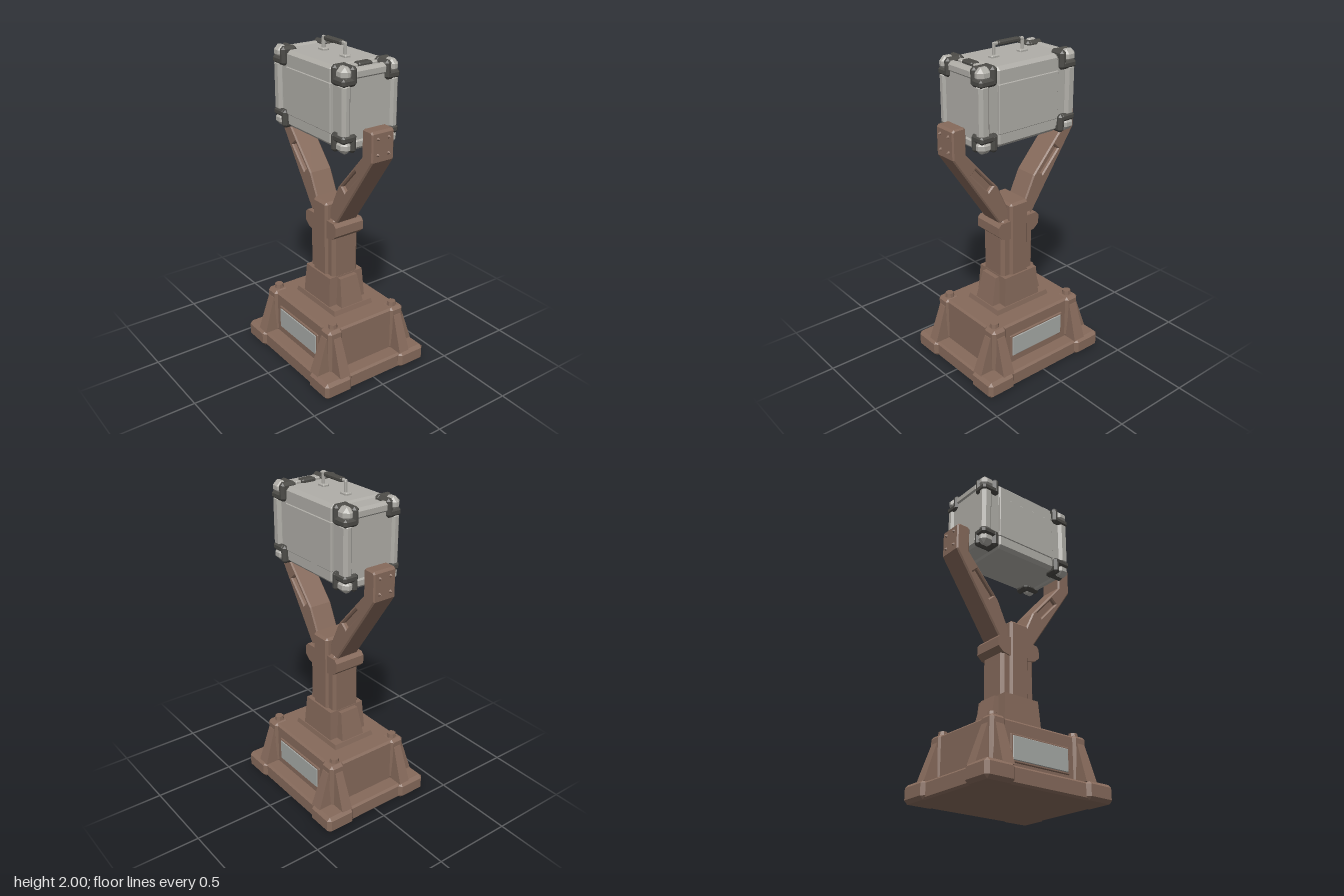
import * as THREE from 'three';
import { ConvexGeometry } from 'three/addons/geometries/ConvexGeometry.js';

const mat = (name, color) => {
  const m = new THREE.MeshStandardMaterial({ color });
  m.name = name;
  return m;
};

export function createModel() {
  const bronze = mat('bronze brown', 0x866a5b);
  const silver = mat('case silver', 0xb0aea8);
  const dark = mat('dark fittings', 0x4b4a46);
  const plate = mat('plaque grey', 0xa6a9a6);
  const root = new THREE.Group();
  root.name = 'trophy';

  const group = (name) => {
    const g = new THREE.Group();
    g.name = name;
    root.add(g);
    return g;
  };
  const add = (parent, name, geo, material) => {
    const m = new THREE.Mesh(geo, material);
    m.name = name;
    parent.add(m);
    return m;
  };
  const SIGNS = [-1, 1];

  // Chamfered box given by its min / max extents on each axis
  const block = (x, y, z, c) => {
    const r = [x, y, z].map(([a, b]) => [Math.min(a, b), Math.max(a, b)]);
    const pts = [];
    for (const i of [0, 1]) for (const j of [0, 1]) for (const k of [0, 1]) {
      const s = [i, j, k];
      for (let full = 0; full < 3; full++) {
        const p = r.map((e, n) => e[s[n]] + (n === full ? 0 : s[n] ? -c : c));
        pts.push(new THREE.Vector3(...p));
      }
    }
    return new ConvexGeometry(pts);
  };
  // Tapered solid between two rectangles: [x0, x1, z0, z1] at heights y0 and y1
  const taper = (y0, a, y1, b) => {
    const pts = [];
    for (const [y, r] of [[y0, a], [y1, b]])
      for (const x of [r[0], r[1]]) for (const z of [r[2], r[3]]) pts.push(new THREE.Vector3(x, y, z));
    return new ConvexGeometry(pts);
  };
  const sym = (h) => [-h, h];

  // ---- Plinth ----
  const base = group('plinth');
  add(base, 'baseSlab', block(sym(0.42), [0, 0.1], sym(0.352), 0.012), bronze);
  add(base, 'plinthBody', block(sym(0.33), [0.08, 0.375], sym(0.265), 0.012), bronze);
  for (const sx of SIGNS) for (const sz of SIGNS) {
    add(base, 'cornerFoot', block([sx * 0.25, sx * 0.442], [0, 0.108], [sz * 0.18, sz * 0.372], 0.02), bronze);
    add(base, 'cornerPost', block([sx * 0.24, sx * 0.342], [0.09, 0.38], [sz * 0.178, sz * 0.28], 0.018), bronze);
    add(base, 'sideButtress', taper(0.1, [sx * 0.3, sx * 0.428, sz * 0.19, sz * 0.262],
      0.33, [sx * 0.3, sx * 0.346, sz * 0.2, sz * 0.252]), bronze);
    add(base, 'frontButtress', taper(0.1, [sx * 0.25, sx * 0.33, sz * 0.24, sz * 0.358],
      0.33, [sx * 0.262, sx * 0.318, sz * 0.24, sz * 0.284]), bronze);
    const bolt = add(base, 'postBolt', new THREE.CylinderGeometry(0.026, 0.03, 0.03, 8).toNonIndexed(), bronze);
    bolt.geometry.rotateY(Math.PI / 8);
    bolt.geometry.computeVertexNormals();
    bolt.position.set(sx * 0.292, 0.39, sz * 0.222);
  }
  // Plaque in a thin frame, front and back
  for (const sz of SIGNS) {
    add(base, 'plaqueFrame', block(sym(0.208), [0.143, 0.297], [sz * 0.255, sz * 0.274], 0.004), bronze);
    add(base, 'plaque', block(sym(0.196), [0.154, 0.286], [sz * 0.272, sz * 0.28], 0.003), plate);
  }

  // ---- Column ----
  const column = group('column');
  add(column, 'footFlange', taper(0.37, [-0.205, 0.205, -0.145, 0.145], 0.405, [-0.195, 0.195, -0.138, 0.138]), bronze);
  add(column, 'footBlock', taper(0.39, [-0.135, 0.135, -0.133, 0.133], 0.59, [-0.122, 0.122, -0.12, 0.12]), bronze);
  add(column, 'footWedge', taper(0.4, [-0.19, 0.19, -0.08, 0.08], 0.58, [-0.15, 0.15, -0.062, 0.062]), bronze);
  add(column, 'shaft', block(sym(0.12), [0.55, 0.96], sym(0.092), 0.018), bronze);
  add(column, 'frontPillar', block(sym(0.068), [0.55, 1.06], sym(0.108), 0.014), bronze);
  for (const sx of SIGNS)
    add(column, 'collar', new ConvexGeometry([
      [0.05, 0.95], [0.135, 0.95], [0.153, 0.93], [0.153, 0.875], [0.12, 0.845], [0.05, 0.83],
    ].flatMap(([x, y]) => SIGNS.map((s) => new THREE.Vector3(sx * x, y, s * 0.1)))), bronze);

  // ---- Forked arms with recessed slots ----
  const outline = [[0.06, 0.95], [0.125, 0.945], [0.445, 1.42], [0.445, 1.58], [0.432, 1.593],
    [0.368, 1.593], [0.355, 1.58], [0.355, 1.43], [0.135, 1.18], [0.06, 1.02]];
  const slotAngle = THREE.MathUtils.degToRad(48);
  const slotCentre = new THREE.Vector2(0.25, 1.25);
  const armShape = new THREE.Shape(outline.map((p) => new THREE.Vector2(...p)));
  armShape.holes.push(new THREE.Path([[-0.09, -0.02], [-0.09, 0.02], [0.09, 0.02], [0.09, -0.02]].map(([x, y]) =>
    new THREE.Vector2(x, y).rotateAround(new THREE.Vector2(), slotAngle).add(slotCentre))));
  const armGeo = new THREE.ExtrudeGeometry(armShape, {
    depth: 0.134, bevelEnabled: true, bevelSize: 0.008, bevelOffset: -0.008, bevelThickness: 0.008, bevelSegments: 1,
  }).translate(0, 0, -0.067);
  const slotGeo = new THREE.BoxGeometry(0.2, 0.05, 0.1).rotateZ(slotAngle).translate(slotCentre.x, slotCentre.y, 0);
  const studGeo = new THREE.ConeGeometry(0.011, 0.016, 6).rotateZ(-Math.PI / 2);
  for (const side of ['left', 'right']) {
    const arm = group(side + 'Arm');
    if (side === 'right') arm.rotation.y = Math.PI;
    add(arm, 'armBeam', armGeo, bronze);
    add(arm, 'slotFloor', slotGeo, bronze);
    for (const y of [1.46, 1.55]) for (const z of SIGNS)
      add(arm, 'armStud', studGeo, bronze).position.set(0.452, y, z * 0.037);
  }

  // ---- Case ----
  const box = group('case');
  box.position.y = 1.692;
  add(box, 'caseBody', block(sym(0.222), sym(0.224), sym(0.177), 0.02), silver);
  add(box, 'caseEnds', block(sym(0.328), sym(0.213), sym(0.166), 0.02), silver);
  for (const sz of SIGNS)
    add(box, 'frontPanel', block(sym(0.212), [-0.148, 0.132], [sz * 0.16, sz * 0.182], 0.004), silver);
  for (const sx of SIGNS) {
    for (const sz of SIGNS)
      add(box, 'uprightRail', block([sx * 0.272, sx * 0.342], sym(0.15), [sz * 0.13, sz * 0.188], 0.018), silver);
    for (const sy of SIGNS) {
      add(box, 'endRail', block([sx * 0.285, sx * 0.337], [sy * 0.16, sy * 0.222], sym(0.11), 0.016), silver);
      // Corner guard: three dark bands around a silver tip
      for (const sz of SIGNS) {
        const corner = new THREE.Group();
        corner.name = 'cornerGuard';
        box.add(corner);
        const part = (name, x, y, z, c, m) => add(corner, name,
          block(x.map((v) => v * sx), y.map((v) => v * sy), z.map((v) => v * sz), c), m);
        part('innerBand', [0.222, 0.268], [0.13, 0.238], [0.092, 0.193], 0.016, dark);
        part('endBand', [0.24, 0.344], [0.13, 0.236], [0.092, 0.136], 0.016, dark);
        part('lowerBand', [0.24, 0.344], [0.13, 0.178], [0.1, 0.192], 0.014, dark);
        part('cornerTip', [0.255, 0.346], [0.16, 0.237], [0.12, 0.19], 0.026, silver);
      }
    }
  }
  // Latch on the left top edge
  add(box, 'latch', block([0.233, 0.288], [0.2, 0.234], sym(0.046), 0.008), dark);
  for (const sz of SIGNS)
    add(box, 'latchHinge', block([0.243, 0.282], [0.2, 0.229], [sz * 0.046, sz * 0.085], 0.006), silver);

  // ---- Carrying handle ----
  const handle = group('handle');
  for (const sx of SIGNS) {
    add(handle, 'handlePad', block([sx * 0.072, sx * 0.13], [1.91, 1.93], sym(0.02), 0.005), silver);
    add(handle, 'handlePost', block([sx * 0.092, sx * 0.11], [1.92, 1.992], sym(0.009), 0.004), silver);
    add(handle, 'handleElbow', block([sx * 0.06, sx * 0.108], [1.98, 1.997], sym(0.009), 0.004), silver);
  }
  add(handle, 'handleGrip', block(sym(0.078), [1.976, 2], sym(0.018), 0.006), dark);

  return root;
}
